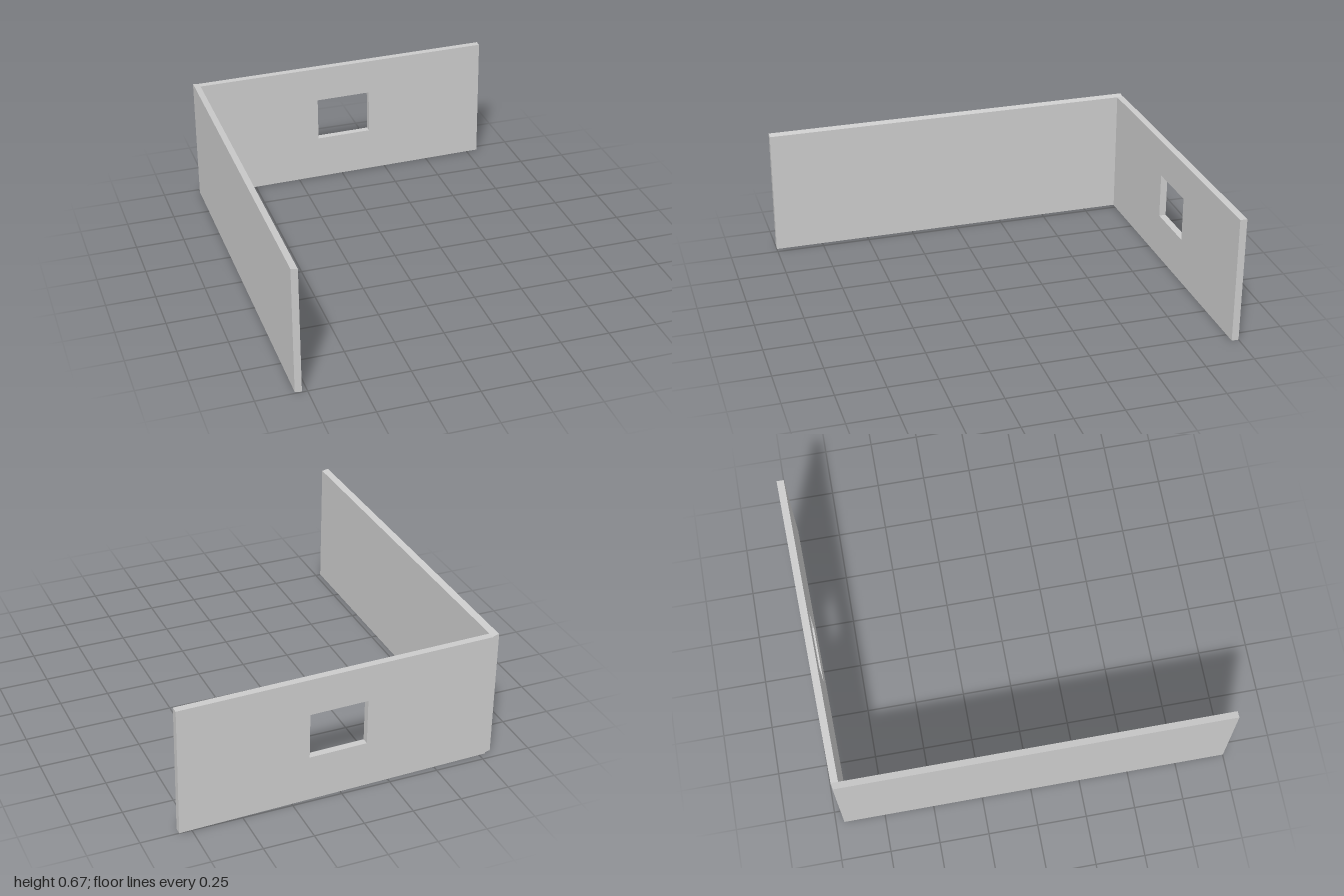
import * as THREE from 'three';

// Closed outline from [x, y] corners
const outline = (pts, Type = THREE.Shape) => new Type(pts.map(([x, y]) => new THREE.Vector2(x, y)));
const rect = (x0, x1, y0, y1) => [[x0, y0], [x1, y0], [x1, y1], [x0, y1]];

function wall(name, shape, zBack, depth, skew = 0) {
  const geometry = new THREE.ExtrudeGeometry(shape, { depth, bevelEnabled: false });
  geometry.translate(0, 0, zBack);
  // Let the wall run backwards as x grows
  const p = geometry.attributes.position;
  for (let i = 0; i < p.count; i++) p.setZ(i, p.getZ(i) - skew * (p.getX(i) + 0.78));
  geometry.computeVertexNormals();
  const mesh = new THREE.Mesh(geometry, new THREE.MeshStandardMaterial({ color: 0xcccccc, flatShading: true }));
  mesh.name = name;
  return mesh;
}

export function createModel() {
  const group = new THREE.Group();
  group.name = 'cornerWalls';

  // Long plain wall, its top and bottom sloping slightly inward
  const side = outline([[-0.811, 0.009], [-0.777, 0.002], [-0.777, 0.659], [-0.811, 0.666]]);
  group.add(wall('sideWall', side, -0.957, 1.957));

  // Back wall with a window opening, set slightly off square
  const back = outline(rect(-0.783, 0.811, 0, 0.659));
  back.holes.push(outline(rect(-0.133, 0.161, 0.237, 0.471), THREE.Path));
  group.add(wall('backWall', back, -0.962, 0.036, 0.0238));

  return group;
}
